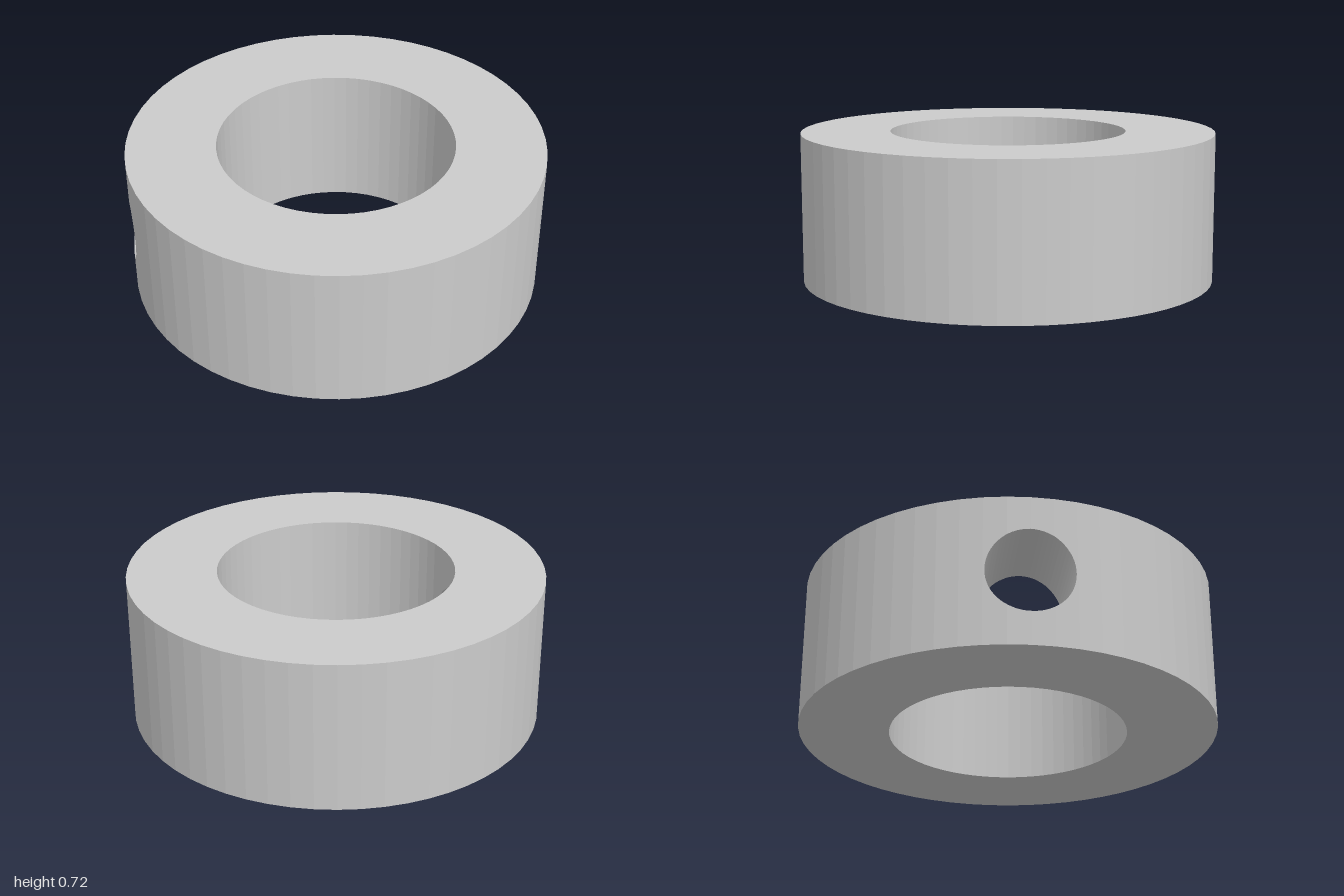
import * as THREE from 'three';

const SIDES = 60, STEP = (Math.PI * 2) / SIDES;
const OUTER = 1, INNER = 0.57, HEIGHT = 0.72;
const HOLE = 0.2, MID = HEIGHT / 2;

// Half height of the cross-drilled hole at a given z
const halfHole = z => Math.sqrt(Math.max(0, HOLE * HOLE - z * z));

// z positions across the hole: its own segments plus every wall edge it crosses
function holeColumns() {
  const zs = [];
  for (let i = 0; i <= 30; i++) zs.push(-HOLE * Math.cos((Math.PI * i) / 30));
  for (const r of [OUTER, INNER])
    for (let k = -5; k <= 5; k++) {
      const z = r * Math.sin(k * STEP);
      if (Math.abs(z) < HOLE) zs.push(z);
    }
  zs.sort((a, b) => a - b);
  return zs.filter((z, i) => i === 0 || z - zs[i - 1] > 1e-5);
}

// Point on the faceted wall (on the -x side) at a given z
function wallPoint(r, z) {
  const k = Math.floor(Math.asin(z / r) / STEP + 1e-9);
  const a = k * STEP, b = a + STEP;
  const t = (z - r * Math.sin(a)) / (r * (Math.sin(b) - Math.sin(a)));
  return [-r * THREE.MathUtils.lerp(Math.cos(a), Math.cos(b), t), z];
}

// Closed outline of a wall as [x, z], starting with the hole columns
function outline(r, zs) {
  const pts = zs.map(z => wallPoint(r, z));
  const edge = Math.asin(HOLE / r) + 1e-4;
  for (let k = 0; k < SIDES; k++) {
    const a = k * STEP;
    if (a > edge && a < Math.PI * 2 - edge) pts.push([-r * Math.cos(a), r * Math.sin(a)]);
  }
  return pts;
}

function quadBuilder() {
  const pos = [];
  return {
    quad(a, b, c, d, flip) {
      const tris = flip ? [a, c, b, a, d, c] : [a, b, c, a, c, d];
      for (const p of tris) pos.push(...p);
    },
    build() {
      const g = new THREE.BufferGeometry();
      g.setAttribute('position', new THREE.Float32BufferAttribute(pos, 3));
      g.computeVertexNormals();
      return g;
    },
  };
}

// Upright wall with the round opening left out
function wall(pts, columns, flip) {
  const q = quadBuilder();
  pts.forEach((p, i) => {
    const n = pts[(i + 1) % pts.length];
    const strip = (p0, n0, p1, n1) =>
      q.quad([p[0], p0, p[1]], [n[0], n0, n[1]], [n[0], n1, n[1]], [p[0], p1, p[1]], flip);
    if (i < columns - 1) {
      const hp = halfHole(p[1]), hn = halfHole(n[1]);
      strip(0, 0, MID - hp, MID - hn);
      strip(MID + hp, MID + hn, HEIGHT, HEIGHT);
    } else strip(0, 0, HEIGHT, HEIGHT);
  });
  return q.build();
}

// Lining of the hole, from the outer wall to the bore
function tunnel(outer, inner, columns) {
  const q = quadBuilder();
  for (let i = 0; i < columns - 1; i++)
    for (const s of [-1, 1]) {
      const at = ([x, z]) => [x, MID + s * halfHole(z), z];
      q.quad(at(outer[i]), at(outer[i + 1]), at(inner[i + 1]), at(inner[i]), s > 0);
    }
  return q.build();
}

// Flat ring face; dir = 1 looks up, -1 looks down
function ringFace(outer, inner, dir) {
  const to2 = ([x, z]) => new THREE.Vector2(x, -dir * z);
  const shape = new THREE.Shape(outer.map(to2));
  shape.holes.push(new THREE.Path(inner.map(to2)));
  const g = new THREE.ShapeGeometry(shape).rotateX((-dir * Math.PI) / 2);
  return g.translate(0, dir > 0 ? HEIGHT : 0, 0);
}

export function createModel() {
  const group = new THREE.Group();
  group.name = 'shaftCollar';
  const material = new THREE.MeshStandardMaterial({ color: 0xcccccc, flatShading: true });
  const add = (name, geometry) => {
    const mesh = new THREE.Mesh(geometry, material);
    mesh.name = name;
    group.add(mesh);
  };

  const zs = holeColumns();
  const outer = outline(OUTER, zs), inner = outline(INNER, zs);
  add('outerWall', wall(outer, zs.length, false));
  add('boreWall', wall(inner, zs.length, true));
  add('setScrewHole', tunnel(outer, inner, zs.length));
  add('topFace', ringFace(outer, inner, 1));
  add('bottomFace', ringFace(outer, inner, -1));
  return group;
}
